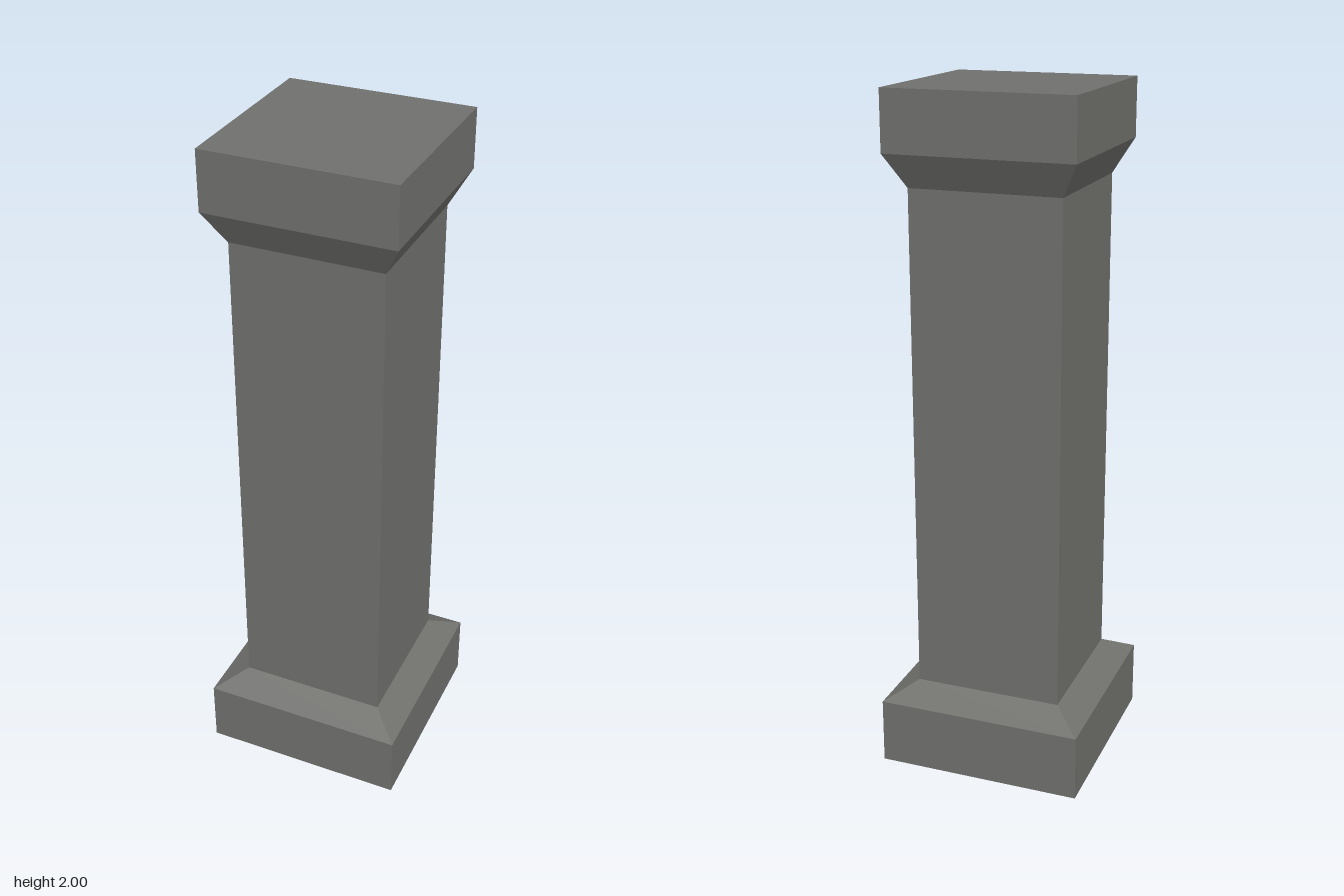
import * as THREE from 'three';

const stone = new THREE.MeshStandardMaterial({ color: 0x70706d });
stone.name = 'grey stone';

// Square section swept up a profile of [half width, height] points, with flat faces
function squarePart(name, profile) {
  const points = profile.map(([half, y]) => new THREE.Vector2(half * Math.SQRT2, y));
  const geometry = new THREE.LatheGeometry(points, 4, Math.PI / 4).toNonIndexed();
  geometry.computeVertexNormals();
  const mesh = new THREE.Mesh(geometry, stone);
  mesh.name = name;
  return mesh;
}

export function createModel() {
  const pillar = new THREE.Group();
  pillar.name = 'pillar';
  pillar.add(
    // Base block, closed underneath
    squarePart('plinth', [[0, 0], [0.305, 0], [0.305, 0.197]]),
    // Slope from the base in to the shaft
    squarePart('baseBevel', [[0.305, 0.197], [0.22, 0.246]]),
    squarePart('shaft', [[0.22, 0.246], [0.22, 1.733]]),
    // Flare from the shaft out to the cap
    squarePart('capitalFlare', [[0.22, 1.733], [0.272, 1.829]]),
    // Cap block, closed on top
    squarePart('capital', [[0.272, 1.829], [0.272, 2], [0, 2]]),
  );
  return pillar;
}
